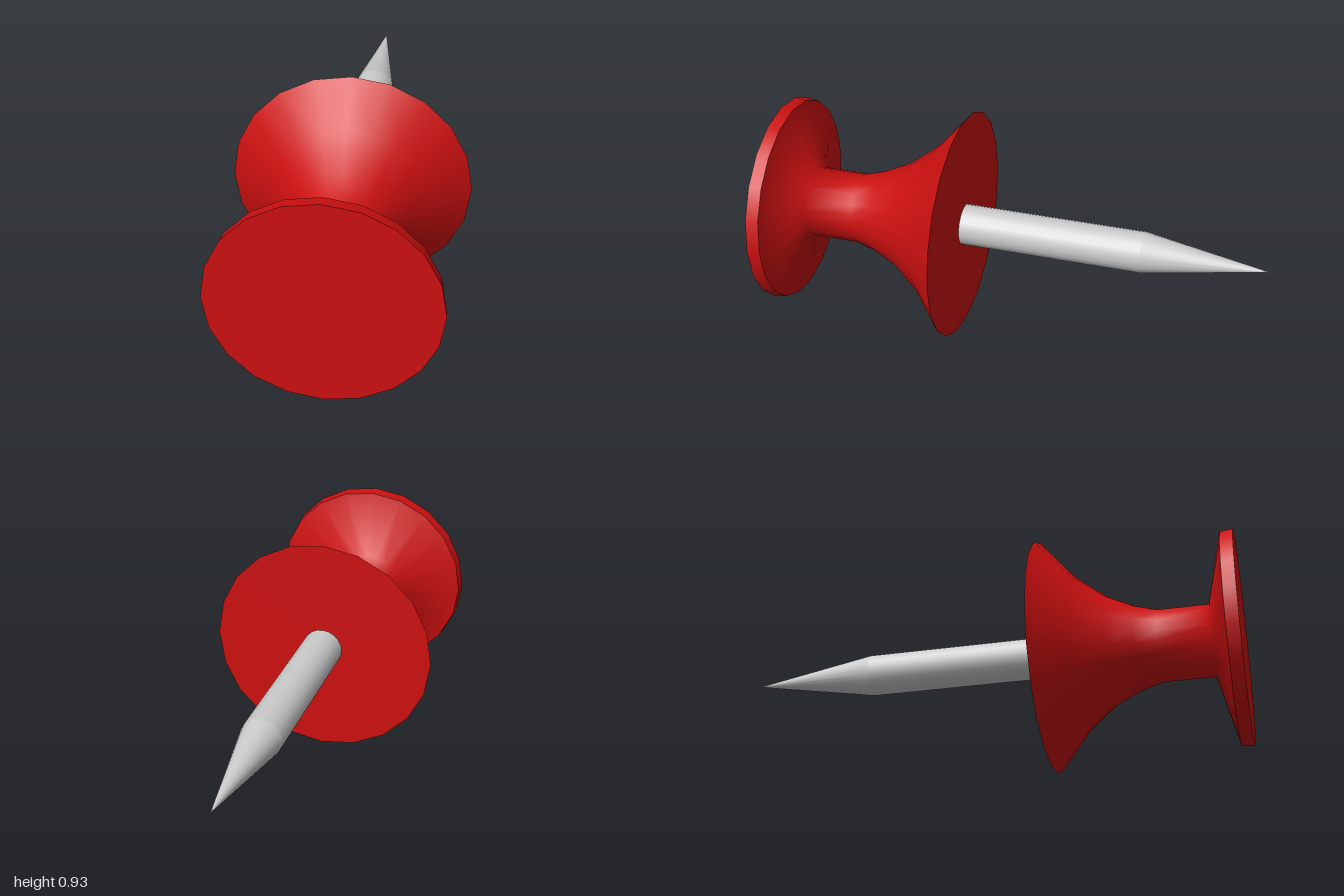
import * as THREE from 'three';

const SIDES = 20;
const AXIS_Y = 0.4625; // height of the pin's axis

// Revolve [radius, z] points (z ascending) around the pin's axis
function revolve(name, points, material) {
  const geometry = new THREE.LatheGeometry(points.map(([r, z]) => new THREE.Vector2(r, z)), SIDES);
  geometry.rotateX(Math.PI / 2);
  const mesh = new THREE.Mesh(geometry, material);
  mesh.name = name;
  return mesh;
}

export function createModel() {
  const red = new THREE.MeshStandardMaterial({ color: 0xcc1010 });
  const grey = new THREE.MeshStandardMaterial({ color: 0xcccccc });

  // Plastic handle: separate strips keep the rim edges sharp
  const handle = new THREE.Group();
  handle.name = 'handle';
  handle.add(
    revolve('collarBase', [[0, 0.235], [0.4625, 0.235]], red),
    revolve('gripBody', [
      [0.4625, 0.235], [0.31, 0.365], [0.22, 0.48], [0.168, 0.59],
      [0.143, 0.68], [0.143, 0.88], [0.415, 0.95],
    ], red),
    revolve('headRim', [[0.415, 0.95], [0.421, 1]], red),
    revolve('headFace', [[0.421, 1], [0, 1]], red),
  );

  // Metal needle: tapered point and straight shaft
  const needle = new THREE.Group();
  needle.name = 'needle';
  needle.add(
    revolve('needlePoint', [[0, -1], [0.083, -0.5]], grey),
    revolve('needleShaft', [[0.083, -0.5], [0.083, 0.25]], grey),
  );

  const pin = new THREE.Group();
  pin.name = 'pushPin';
  pin.add(handle, needle);
  pin.position.y = AXIS_Y;

  const model = new THREE.Group();
  model.add(pin);
  return model;
}
